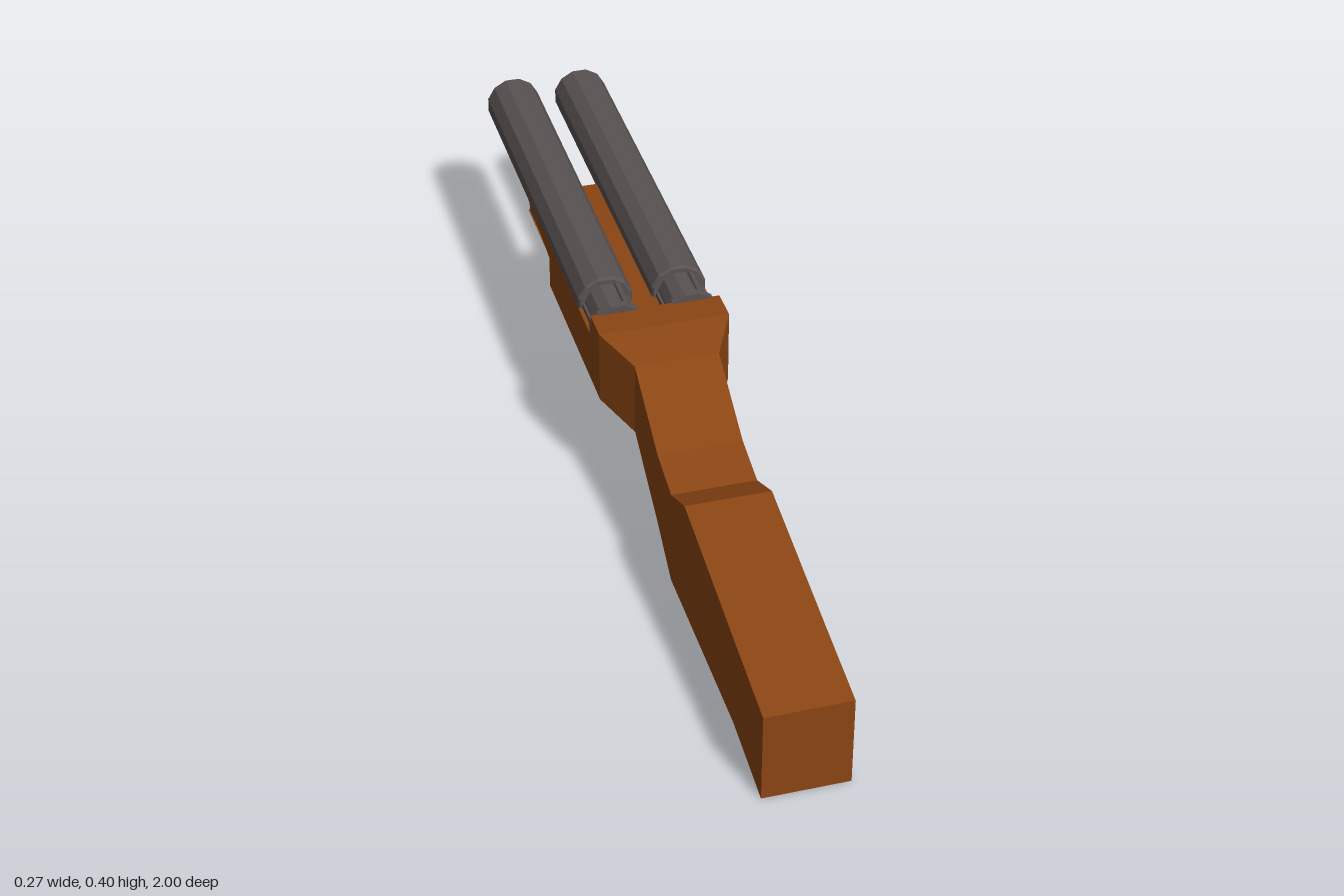
import * as THREE from 'three';

const wood = new THREE.MeshStandardMaterial({ color: 0x8b4513, flatShading: true });
const steel = new THREE.MeshStandardMaterial({ color: 0x5a5252, flatShading: true, side: THREE.DoubleSide });
const red = new THREE.MeshStandardMaterial({ color: 0xd0101c, flatShading: true });

// Four-cornered section: half width, bottom, top, optional bottom half width
const section = (w, b, t, wb = w) => [[-wb, b], [wb, b], [w, t], [-w, t]];

// Skin sections placed along falling z, closing both ends
function loft(stations) {
  const pos = [];
  const tri = (...p) => p.forEach(v => pos.push(...v));
  const rings = stations.map(([z, pts]) => pts.map(([x, y]) => [x, y, z]));
  const n = rings[0].length;
  for (let s = 0; s < rings.length - 1; s++) {
    for (let i = 0; i < n; i++) {
      const j = (i + 1) % n, p = rings[s], q = rings[s + 1];
      tri(p[i], q[i], q[j]);
      tri(p[i], q[j], p[j]);
    }
  }
  const first = rings[0], last = rings[rings.length - 1];
  for (let i = 1; i < n - 1; i++) {
    tri(first[0], first[i], first[i + 1]);
    tri(last[0], last[i + 1], last[i]);
  }
  const g = new THREE.BufferGeometry();
  g.setAttribute('position', new THREE.Float32BufferAttribute(pos, 3));
  g.computeVertexNormals();
  return g;
}

function add(parent, name, geometry, material) {
  const mesh = new THREE.Mesh(geometry, material);
  mesh.name = name;
  parent.add(mesh);
  return mesh;
}

export function createModel() {
  const model = new THREE.Group();
  model.name = 'doubleBarrelGun';

  // Butt, grip, receiver and fore-end
  add(model, 'stock', loft([
    [1, section(0.088, 0, 0.2)],
    [0.82, section(0.088, 0.03, 0.23)],
    [0.48, section(0.088, 0.03, 0.29)],
    [0.385, section(0.088, 0.03, 0.245)],
    [0.285, section(0.088, 0.1, 0.27)],
    [0.115, section(0.088, 0.203, 0.367)],
    [0.02, section(0.137, 0.228, 0.39)],
    [-0.05, section(0.137, 0.228, 0.39)],
    [-0.05, section(0.137, 0.228, 0.34)],
    [-0.41, section(0.137, 0.228, 0.34)],
  ]), wood);

  // Steel plate closing the fore-end
  add(model, 'foreEndCap', loft([
    [-0.41, section(0.136, 0.229, 0.3)],
    [-0.413, section(0.136, 0.229, 0.3)],
  ]), steel);

  // Wooden wedge tapering upward under the barrels
  add(model, 'foreEndWedge', loft([
    [-0.41, section(0.137, 0.3, 0.34)],
    [-0.613, section(0.137, 0.333, 0.338)],
  ]), wood);

  // Steel filling between wedge and lower plate
  add(model, 'foreEndCore', loft([
    [-0.41, section(0.132, 0.295, 0.3)],
    [-0.611, section(0.132, 0.295, 0.333)],
  ]), steel);

  // Lower wooden plate with bevelled sides
  add(model, 'foreEndPlate', loft([
    [-0.41, section(0.135, 0.266, 0.298, 0.1)],
    [-0.613, section(0.135, 0.266, 0.298, 0.1)],
  ]), wood);

  // Barrel profile: radius, distance forward; from breech flange to hollow bore
  const profile = [
    [0, 0.045], [0.06, 0.045], [0.06, 0.062], [0.046, 0.066], [0.046, 0.15],
    [0.056, 0.15], [0.06, 0.156], [0.06, 0.993], [0.055, 1], [0.042, 1],
    [0.038, 0.985], [0.034, 0.96], [0, 0.96],
  ].map(([r, d]) => new THREE.Vector2(r, d));

  for (const side of [-1, 1]) {
    const barrel = new THREE.Group();
    barrel.name = side > 0 ? 'leftBarrel' : 'rightBarrel';
    barrel.position.set(side * 0.079, 0.347, 0);
    barrel.rotation.x = -Math.PI / 2;
    model.add(barrel);
    add(barrel, 'tube', new THREE.LatheGeometry(profile, 12, Math.PI / 12), steel);

    // Ribs around the breech
    for (let i = 0; i < 6; i++) {
      const a = i * Math.PI / 3;
      const rib = add(barrel, 'breechRib', new THREE.BoxGeometry(0.012, 0.09, 0.012), steel);
      rib.position.set(Math.cos(a) * 0.044, 0.107, Math.sin(a) * 0.044);
      rib.rotation.y = -a;
    }
  }

  // Fluted trigger column
  const star = new THREE.Shape(Array.from({ length: 12 }, (_, i) => {
    const a = i * Math.PI / 6 + Math.PI / 12;
    const r = i % 3 === 2 ? 0.014 : 0.028;
    return new THREE.Vector2(Math.cos(a) * r, Math.sin(a) * r);
  }));
  const trigger = add(model, 'trigger',
    new THREE.ExtrudeGeometry(star, { depth: 0.15, bevelEnabled: false }), red);
  trigger.rotation.x = -Math.PI / 2;
  trigger.position.set(0, 0.085, -0.027);

  return model;
}
